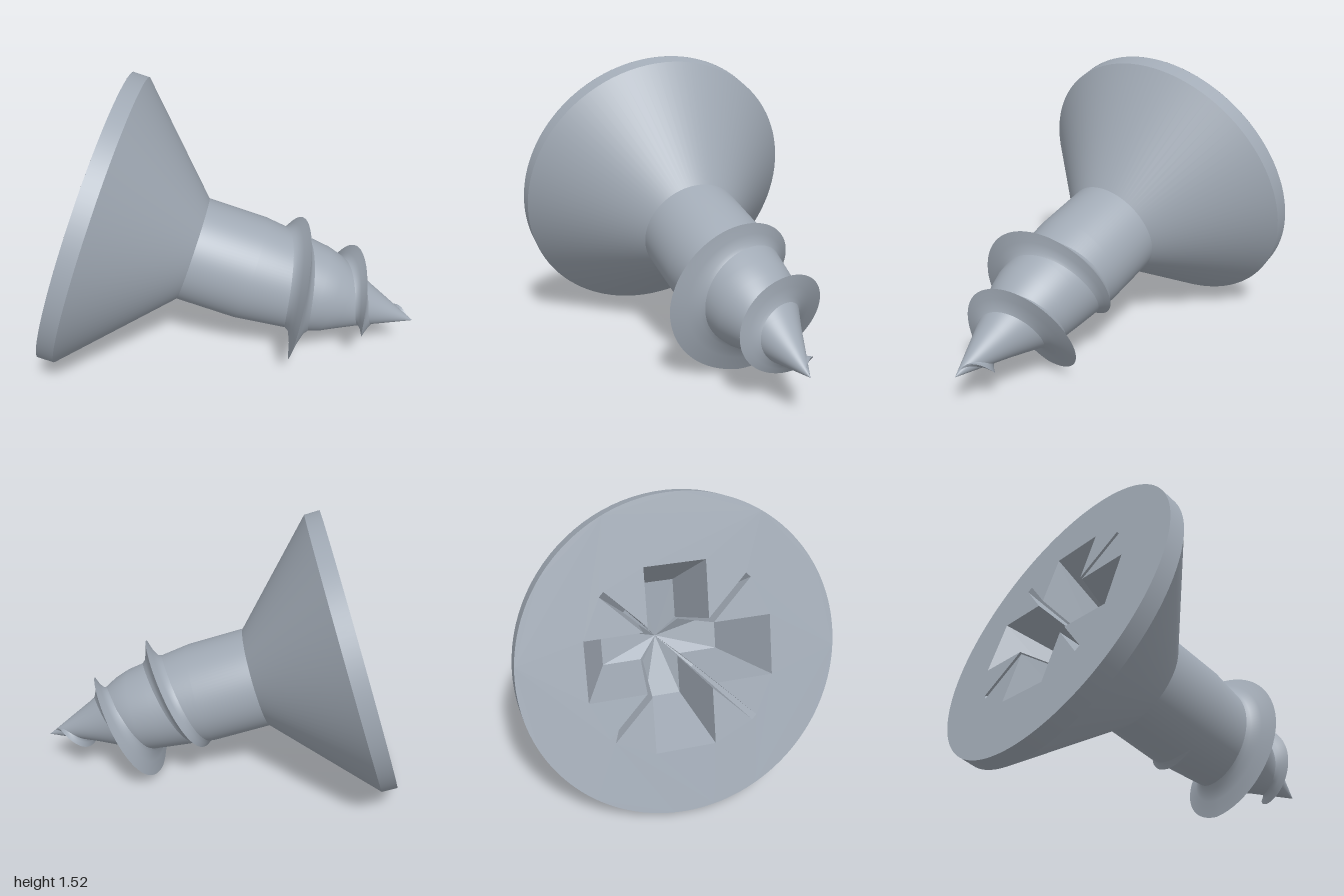
import * as THREE from 'three';

const steel = new THREE.MeshStandardMaterial({ color: 0xa1aab5, side: THREE.DoubleSide });
steel.name = 'steel';

// Distances run along the screw axis from the head face to the tip.
const HEAD_R = 0.781, RIM = 0.085, RECESS = 0.345;
const core = [[0.58, 0.28], [0.9, 0.28], [1.16, 0.25], [1.27, 0.236], [1.35, 0.212],
  [1.42, 0.178], [1.55, 0.118], [1.7, 0.055], [1.83, 0]];
// Thread crest radius by turn
const crest = [[-0.12, 0.27], [0, 0.292], [0.25, 0.316], [0.5, 0.352], [0.75, 0.395], [1, 0.406],
  [1.25, 0.332], [1.5, 0.258], [1.75, 0.197], [2, 0.144], [2.25, 0.085], [2.5, 0.012]];

function lookup(table, t) {
  if (t <= table[0][0]) return table[0][1];
  for (let i = 1; i < table.length; i++) {
    const [a, ra] = table[i - 1], [b, rb] = table[i];
    if (t <= b) return ra + (rb - ra) * (t - a) / (b - a);
  }
  return table[table.length - 1][1];
}

function add(group, name, geometry) {
  const mesh = new THREE.Mesh(geometry, steel);
  mesh.name = name;
  group.add(mesh);
  return mesh;
}

// Lathe from [distance, radius] pairs
const lathe = (pairs) =>
  new THREE.LatheGeometry(pairs.map(([t, r]) => new THREE.Vector2(r, t)), 96);

// Cross with four arms and four thin diagonal slots
function crossOutline(reach, half, diag, slot) {
  const k = slot * Math.SQRT2, e = slot / Math.SQRT2;
  const quarter = [[reach, -half], [reach, half], [half + k, half],
    [diag + e, diag - e], [diag - e, diag + e], [half, half + k]];
  const pts = [];
  for (let q = 0; q < 4; q++) {
    for (const [x, y] of quarter) {
      pts.push(new THREE.Vector2(x, y));
    }
    quarter.forEach((p) => { const [x, y] = p; p[0] = -y; p[1] = x; });
  }
  return pts;
}

// Tapered recess walls and a shallow pointed floor
function recessGeometry(top, bottom) {
  const pos = [];
  const n = top.length;
  const put = (p, z) => pos.push(p.x, p.y, z);
  const centre = new THREE.Vector2();
  for (let i = 0; i < n; i++) {
    const j = (i + 1) % n;
    put(top[i], 0); put(bottom[j], -RECESS); put(bottom[i], -RECESS);
    put(top[i], 0); put(top[j], 0); put(bottom[j], -RECESS);
    put(bottom[i], -RECESS); put(bottom[j], -RECESS); put(centre, -RECESS - 0.07);
  }
  const g = new THREE.BufferGeometry();
  g.setAttribute('position', new THREE.Float32BufferAttribute(pos, 3));
  g.computeVertexNormals();
  return g;
}

// One flank of the thread: section points are [axial offset, height fraction]
function flankGeometry(section) {
  const pos = [], idx = [], steps = 260, m = section.length;
  for (let i = 0; i <= steps; i++) {
    const turn = -0.12 + 2.62 * i / steps;
    const angle = turn * Math.PI * 2;
    const t = 0.935 + 0.345 * turn;
    const width = turn < 1.1 ? 1 : 1 - 0.65 * (turn - 1.1) / 1.4;
    const top = lookup(crest, turn);
    for (const [offset, h] of section) {
      const y = Math.min(t + offset * width, 1.83);
      const base = Math.max(lookup(core, y) - 0.006, 0);
      const r = base + (Math.max(top, base) - base) * h;
      pos.push(-Math.cos(angle) * r, y, Math.sin(angle) * r);
    }
  }
  for (let i = 0; i < steps; i++) {
    for (let k = 0; k < m - 1; k++) {
      const a = i * m + k, b = a + 1, c = a + m, d = c + 1;
      idx.push(a, c, b, b, c, d);
    }
  }
  const g = new THREE.BufferGeometry();
  g.setAttribute('position', new THREE.Float32BufferAttribute(pos, 3));
  g.setIndex(idx);
  g.computeVertexNormals();
  return g;
}

export function createModel() {
  const model = new THREE.Group();
  model.name = 'screw';
  const screw = new THREE.Group();
  screw.name = 'tiltedScrew';
  model.add(screw);

  // Countersunk head
  add(screw, 'headRim', lathe([[0, HEAD_R], [RIM, HEAD_R]]));
  add(screw, 'headCone', lathe([[RIM, HEAD_R], [0.58, 0.28]]));

  // Head face with the driver recess
  const top = crossOutline(0.455, 0.15, 0.355, 0.016);
  const bottom = crossOutline(0.3, 0.092, 0.17, 0.008);
  const face = new THREE.Shape().absarc(0, 0, HEAD_R, 0, Math.PI * 2);
  face.holes.push(new THREE.Path([...top].reverse()));
  add(screw, 'headFace', new THREE.ShapeGeometry(face, 96)).rotation.x = Math.PI / 2;
  add(screw, 'driverRecess', recessGeometry(top, bottom)).rotation.x = Math.PI / 2;

  // Shank tapering to the point
  add(screw, 'shank', lathe(core));

  // Spiral thread, split at its sharp crest
  add(screw, 'threadRearFlank', flankGeometry([[-0.075, 0], [-0.045, 0.14], [-0.022, 0.5], [0, 1]]));
  add(screw, 'threadFrontFlank', flankGeometry([[0, 1], [0.018, 0.5], [0.038, 0.14], [0.065, 0]]));

  // Lay the screw along its tilted axis
  const axis = new THREE.Vector3(0.934, -0.302, 0.197).normalize();
  const up = new THREE.Vector3(0, 1, 0).addScaledVector(axis, -axis.y).normalize();
  const side = new THREE.Vector3().crossVectors(up, axis);
  screw.quaternion.setFromRotationMatrix(new THREE.Matrix4().makeBasis(up, axis, side));
  screw.position.set(-0.72, 0.773, -0.01);
  return model;
}
